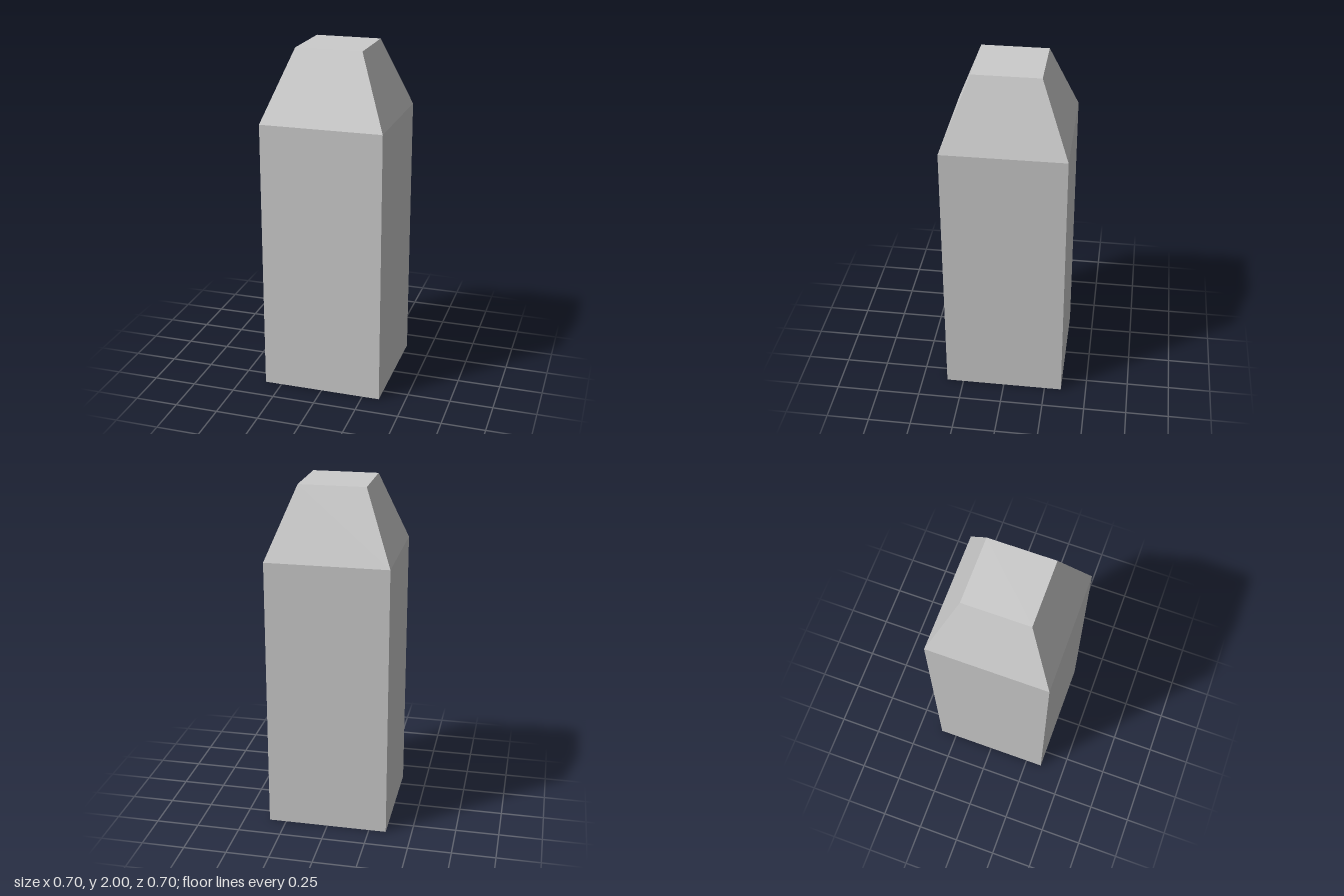
import * as THREE from 'three';

const HALF_WIDTH = 0.35, TOP_HALF_WIDTH = 0.19, SHOULDER = 1.595, HEIGHT = 2;

// Square solid from a profile of [half width, height] points, bottom to top
function squareLathe(name, profile, material) {
  const points = profile.map(([w, y]) => new THREE.Vector2(w * Math.SQRT2, y));
  const mesh = new THREE.Mesh(new THREE.LatheGeometry(points, 4, Math.PI / 4), material);
  mesh.name = name;
  return mesh;
}

export function createModel() {
  const group = new THREE.Group();
  group.name = 'bollard';
  const material = new THREE.MeshStandardMaterial({ color: 0xcccccc, flatShading: true });

  // Straight square post with a closed base
  group.add(squareLathe('post', [[0, 0], [HALF_WIDTH, 0], [HALF_WIDTH, SHOULDER]], material));

  // Tapered cap with a flat top
  group.add(squareLathe('taperedCap', [[HALF_WIDTH, SHOULDER], [TOP_HALF_WIDTH, HEIGHT], [0, HEIGHT]], material));

  return group;
}
